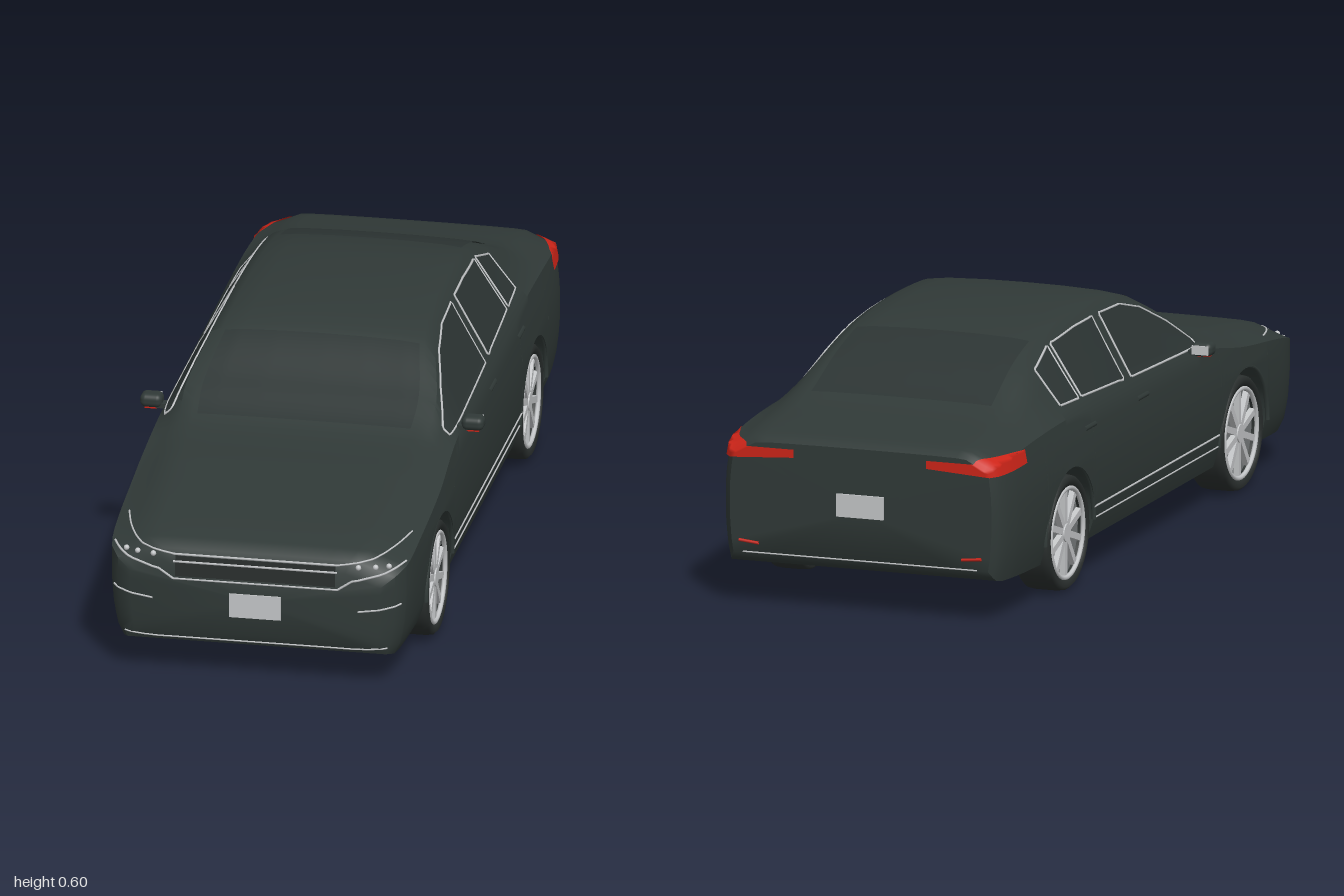
import * as THREE from 'three';
import { toCreasedNormals } from 'three/addons/utils/BufferGeometryUtils.js';
import { RoundedBoxGeometry } from 'three/addons/geometries/RoundedBoxGeometry.js';
import { ParametricGeometry } from 'three/addons/geometries/ParametricGeometry.js';

const mat = (name, color, side = THREE.FrontSide) => {
  const m = new THREE.MeshStandardMaterial({ color, side });
  m.name = name;
  return m;
};

// Body stations, rear to front: z, top, shoulder height, half width, roof half width, bottom
const ROWS = [
  [-0.992, 0.405, 0.372, 0.335, 0.27, 0.13], [-0.97, 0.42, 0.388, 0.354, 0.275, 0.105],
  [-0.9, 0.433, 0.398, 0.37, 0.28, 0.1], [-0.75, 0.462, 0.41, 0.377, 0.27, 0.095],
  [-0.56, 0.545, 0.415, 0.378, 0.26, 0.09], [-0.38, 0.59, 0.41, 0.378, 0.256, 0.09],
  [-0.2, 0.604, 0.405, 0.378, 0.258, 0.09], [0, 0.6, 0.402, 0.378, 0.262, 0.09],
  [0.14, 0.575, 0.4, 0.378, 0.272, 0.09], [0.3, 0.482, 0.398, 0.378, 0.305, 0.09],
  [0.42, 0.42, 0.385, 0.378, 0.3, 0.09], [0.6, 0.395, 0.352, 0.377, 0.29, 0.09],
  [0.85, 0.358, 0.32, 0.37, 0.28, 0.08], [0.94, 0.338, 0.302, 0.36, 0.27, 0.075],
  [0.98, 0.32, 0.285, 0.338, 0.25, 0.085], [0.995, 0.295, 0.26, 0.305, 0.22, 0.115],
];
// Width of the flank by height
const FLANK = [[0.07, 0.91], [0.1, 0.955], [0.15, 0.985], [0.22, 1], [0.3, 1], [0.36, 0.98], [0.43, 0.945]];
const AXLES = [0.6, -0.563], WHEEL_Y = 0.14, ARCH = 0.16;

function table(t, tab) {
  if (t <= tab[0][0]) return tab[0][1];
  for (let i = 1; i < tab.length; i++) {
    const [a, p] = tab[i - 1], [b, q] = tab[i];
    if (t <= b) return b === a ? q : p + (q - p) * (t - a) / (b - a);
  }
  return tab[tab.length - 1][1];
}

// Smooth interpolation of the stations
function station(z) {
  const n = ROWS.length - 1;
  z = Math.min(Math.max(z, ROWS[0][0]), ROWS[n][0]);
  let i = 0;
  while (i < n - 1 && z > ROWS[i + 1][0]) i++;
  const slope = (k, c) => {
    const a = ROWS[Math.max(k - 1, 0)], b = ROWS[Math.min(k + 1, n)];
    return (b[c] - a[c]) / (b[0] - a[0]);
  };
  const p = ROWS[i], q = ROWS[i + 1], h = q[0] - p[0], t = (z - p[0]) / h;
  const [top, shoulder, width, roof, bottom] = [1, 2, 3, 4, 5].map((c) =>
    (2 * t ** 3 - 3 * t * t + 1) * p[c] + (t ** 3 - 2 * t * t + t) * h * slope(i, c) +
    (3 * t * t - 2 * t ** 3) * q[c] + (t ** 3 - t * t) * h * slope(i + 1, c));
  return { top, shoulder, width, roof, bottom };
}

// Shoulder-to-crown outline of a station as [y, x]
function upper(s) {
  const x0 = s.width * table(s.shoulder, FLANK);
  const side = [[0, 0], [0.1, 0.16], [0.5, 0.6], [0.87, 1]].map(([u, f]) => [u, x0 + (s.roof - x0) * f]);
  const crown = [[0.94, 0.9], [0.975, 0.7], [0.995, 0.35], [1, 0]].map(([u, f]) => [u, s.roof * f]);
  return [...side, ...crown].map(([u, x]) => [s.shoulder + u * (s.top - s.shoulder), x]);
}

function halfX(z, y) {
  const s = station(z);
  return y <= s.shoulder ? s.width * table(y, FLANK) : table(y, upper(s));
}
const topY = (z, x) => table(Math.abs(x), upper(station(z)).reverse().map(([y, px]) => [px, y]));

// Outermost z at (x, y), seen from the front (dir 1) or the rear (dir -1)
function endZ(x, y, dir) {
  for (let z = 0.995; z > 0.6; z -= 0.002) {
    const s = station(z * dir);
    if (y >= s.bottom && y <= s.top && halfX(z * dir, y) >= Math.abs(x)) return z * dir;
  }
  return 0.6 * dir;
}

function section(z) {
  const s = station(z);
  let arch = s.bottom;
  for (const c of AXLES) {
    const d = Math.abs(z - c);
    if (d < ARCH) arch = WHEEL_Y + Math.sqrt(ARCH * ARCH - d * d);
  }
  const half = [[0, s.bottom], [0.24, s.bottom], [0.24, arch]];
  for (let i = 0; i < 8; i++) {
    const y = arch + (s.shoulder - arch) * i / 8;
    half.push([s.width * table(y, FLANK), y]);
  }
  upper(s).forEach(([y, x]) => half.push([x, y]));
  const mirrored = half.slice(1, -1).reverse().map(([x, y]) => [-x, y]);
  return [...half, ...mirrored].map(([x, y]) => [x, y, z]);
}

function bodyGeometry() {
  const zs = ROWS.map((r) => r[0]);
  for (let i = 0; i < 60; i++) zs.push(-0.98 + i * 1.96 / 59);
  for (const c of AXLES) {
    zs.push(c - ARCH - 1e-4, c + ARCH + 1e-4);
    for (let k = 0; k <= 28; k++) zs.push(c + ARCH * 0.9999 * Math.cos(Math.PI * k / 28));
  }
  const rings = zs.sort((a, b) => a - b).filter((z, i) => !i || z - zs[i - 1] > 2e-5).map(section);
  const pos = [], n = rings[0].length, last = rings[rings.length - 1];
  for (let i = 0; i < rings.length - 1; i++) {
    for (let j = 0; j < n; j++) {
      const k = (j + 1) % n, a = rings[i], b = rings[i + 1];
      pos.push(...a[j], ...a[k], ...b[j], ...a[k], ...b[k], ...b[j]);
    }
  }
  for (let j = 0; j < n; j++) {
    const k = (j + 1) % n;
    pos.push(0, 0.2, 0.997, ...last[j], ...last[k], 0, 0.25, -0.994, ...rings[0][k], ...rings[0][j]);
  }
  const g = new THREE.BufferGeometry();
  g.setAttribute('position', new THREE.Float32BufferAttribute(pos, 3));
  g.scale(100, 100, 100);
  return toCreasedNormals(g, 0.7).scale(0.01, 0.01, 0.01);
}

export function createModel() {
  const paint = mat('body paint', 0x303937), glass = mat('dark glass', 0x2c3433, THREE.DoubleSide);
  const rubber = mat('tyre rubber', 0x2a2f2e), silver = mat('silver trim', 0xc4c6c8);
  const metal = mat('wheel metal', 0x777b7d), red = mat('red lamp', 0xcc2418, THREE.DoubleSide);
  const car = new THREE.Group();
  car.name = 'car';
  const add = (name, geo, m, x = 0, y = 0, z = 0, parent = car) => {
    const mesh = new THREE.Mesh(geo, m);
    mesh.name = name;
    mesh.position.set(x, y, z);
    parent.add(mesh);
    return mesh;
  };
  const patch = (name, m, fn, nu = 14, nv = 6) =>
    add(name, new ParametricGeometry((u, v, p) => p.set(...fn(u, v)), nu, nv), m);

  // Thin strips laid onto the body along a polyline
  const strip = (name, pts, place, m = silver, r = 0.003) => {
    const path = [];
    pts.forEach((p, i) => {
      const q = pts[i + 1];
      for (let k = 0; k < (q ? 8 : 1); k++) {
        const t = k / 8;
        path.push(new THREE.Vector3(...(q ? place(p[0] + (q[0] - p[0]) * t, p[1] + (q[1] - p[1]) * t) : place(...p))));
      }
    });
    add(name, new THREE.TubeGeometry(new THREE.CatmullRomCurve3(path), path.length * 2, r, 5), m);
  };
  const onFront = (x, y) => [x, y, endZ(x, y, 1) + 0.001];
  const onRear = (x, y) => [x, y, endZ(x, y, -1) - 0.001];

  add('body', bodyGeometry(), paint);

  // Windscreen and rear window
  for (const [name, z0, z1] of [['windscreen', 0.39, 0.16], ['rearWindow', -0.44, -0.72]]) {
    patch(name, glass, (u, v) => {
      const z = z0 + (z1 - z0) * v, x = station(z).roof * 0.86 * (2 * u - 1);
      return [x, topY(z, x) + 0.003, z];
    }, 20, 14);
  }

  // Side windows: lower edge and upper edge as [z, y]
  const windows = [
    ['frontWindow', [[-0.09, 0.422], [0.35, 0.408]], [[-0.09, 0.572], [0.04, 0.567], [0.14, 0.54], [0.25, 0.485], [0.35, 0.422]]],
    ['rearSideWindow', [[-0.4, 0.438], [-0.135, 0.426]], [[-0.4, 0.562], [-0.25, 0.572], [-0.135, 0.573]]],
    ['quarterWindow', [[-0.53, 0.442], [-0.42, 0.438]], [[-0.53, 0.525], [-0.42, 0.56]]],
  ];
  for (const s of [1, -1]) {
    const onSide = (z, y) => [s * (halfX(z, y) + 0.001), y, z];
    for (const [name, low, high] of windows) {
      const a = low[0][0], b = low[1][0];
      patch(name, glass, (u, v) => {
        const z = a + (b - a) * u, y0 = table(z, low), y = y0 + (table(z, high) - y0) * v;
        return [s * (halfX(z, y) + 0.002), y, z];
      }, 16, 8);
      strip(name + 'Trim', [...low, ...[...high].reverse(), low[0]], onSide);
    }
    strip('sillTrim', [[-0.41, 0.172], [0.43, 0.172]], onSide, silver, 0.0025);
    strip('lowerSillTrim', [[-0.4, 0.143], [0.43, 0.143]], onSide, silver, 0.002);
    for (const z of [-0.07, -0.42]) strip('doorHandle', [[z - 0.035, 0.372], [z + 0.035, 0.372]], onSide, paint, 0.006);

    // Tail lamp wrapping from the flank onto the rear face
    patch('tailLamp', red, (u, v) => {
      const t = Math.min(u / 0.5, 1), z = -0.84 - 0.152 * t, st = station(z);
      const high = Math.min(0.403, st.shoulder + 0.6 * (st.top - st.shoulder));
      const low = 0.362 + 0.008 * (1 - t) + Math.max(u - 0.5, 0) * 0.02, y = low + (high - low) * v;
      const x = halfX(z, y) + 0.004;
      return u <= 0.5 ? [s * x, y, z - 0.006 * t * t] : [s * (x + (0.17 - x) * (u - 0.5) * 2), y, -0.998];
    }, 32, 6);
    strip('rearReflector', [[s * 0.26, 0.155], [s * 0.31, 0.16]], onRear, red, 0.004);

    // Headlamp outline, lamp elements and bumper crease
    strip('headlampTopTrim', [[s * 0.2, 0.308], [s * 0.28, 0.32], [s * 0.345, 0.335]], onFront, silver, 0.0025);
    strip('headlampLowerTrim', [[s * 0.2, 0.248], [s * 0.235, 0.272], [s * 0.3, 0.288], [s * 0.355, 0.308]], onFront);
    for (const x of [0.25, 0.29, 0.32]) add('lampElement', new THREE.SphereGeometry(0.007, 10, 8), silver, ...onFront(s * x, 0.305));
    strip('bumperCrease', [[s * 0.25, 0.195], [s * 0.3, 0.203], [s * 0.35, 0.212]], onFront, silver, 0.0025);

    // Door mirror
    add('mirrorHousing', new RoundedBoxGeometry(0.054, 0.034, 0.045, 4, 0.014), paint, s * 0.392, 0.417, 0.28);
    add('mirrorArm', new THREE.BoxGeometry(0.04, 0.012, 0.025), paint, s * 0.36, 0.406, 0.283);
    add('mirrorGlass', new THREE.BoxGeometry(0.042, 0.022, 0.004), silver, s * 0.392, 0.417, 0.257);
    add('mirrorMarker', new THREE.BoxGeometry(0.03, 0.004, 0.02), red, s * 0.393, 0.4, 0.285);
  }

  // Grille, bumper trims and number plates
  patch('grille', rubber, (u, v) => {
    const x = -0.195 + 0.39 * u, y = 0.255 + 0.05 * v;
    return [x, y, endZ(x, y, 1) + 0.002];
  }, 20, 8);
  for (const y of [0.308, 0.292]) strip('grilleBar', [[-0.2, y], [0.2, y]], onFront);
  strip('grilleLowerTrim', [[-0.2, 0.248], [0.2, 0.248]], onFront, silver, 0.0025);
  strip('frontLipTrim', [[-0.32, 0.102], [-0.25, 0.095], [0.25, 0.095], [0.32, 0.102]], onFront, silver, 0.002);
  strip('rearBumperTrim', [[-0.3, 0.132], [0.3, 0.132]], onRear, silver, 0.002);
  add('frontPlate', new THREE.BoxGeometry(0.126, 0.06, 0.006), silver, 0, 0.19, 0.997);
  add('rearPlate', new THREE.BoxGeometry(0.12, 0.056, 0.006), silver, 0, 0.265, -0.996);

  // Wheels and arch lips
  const tyre = new THREE.LatheGeometry([[0.113, -0.042], [0.13, -0.048], [0.138, -0.04], [0.14, -0.025], [0.14, 0.025],
    [0.138, 0.04], [0.13, 0.048], [0.113, 0.042], [0.113, -0.042]].map(([r, h]) => new THREE.Vector2(r, h)), 48).rotateZ(-Math.PI / 2);
  const disc = new THREE.CylinderGeometry(0.114, 0.114, 0.05, 40).rotateZ(Math.PI / 2);
  const rim = new THREE.TorusGeometry(0.109, 0.006, 8, 48).rotateY(Math.PI / 2);
  const hub = new THREE.CylinderGeometry(0.022, 0.026, 0.02, 20).rotateZ(-Math.PI / 2);
  const lip = new THREE.TorusGeometry(0.163, 0.006, 8, 36, Math.PI).rotateY(Math.PI / 2);
  for (const z of AXLES) {
    for (const s of [1, -1]) {
      const wheel = new THREE.Group();
      wheel.name = 'wheel';
      wheel.position.set(s * 0.324, WHEEL_Y, z);
      if (s < 0) wheel.rotation.y = Math.PI;
      add('tyre', tyre, rubber, 0, 0, 0, wheel);
      add('wheelDisc', disc, metal, 0, 0, 0, wheel);
      add('rim', rim, silver, 0.04, 0, 0, wheel);
      add('hub', hub, silver, 0.032, 0, 0, wheel);
      for (let i = 0; i < 10; i++) {
        const spoke = new THREE.BoxGeometry(0.014, 0.09, 0.016).translate(0.032, 0.062, 0).rotateX(i * Math.PI / 5);
        add('spoke', spoke, silver, 0, 0, 0, wheel);
      }
      car.add(wheel);
      add('archLip', lip, paint, s * 0.371, WHEEL_Y, z);
    }
  }
  return car;
}
